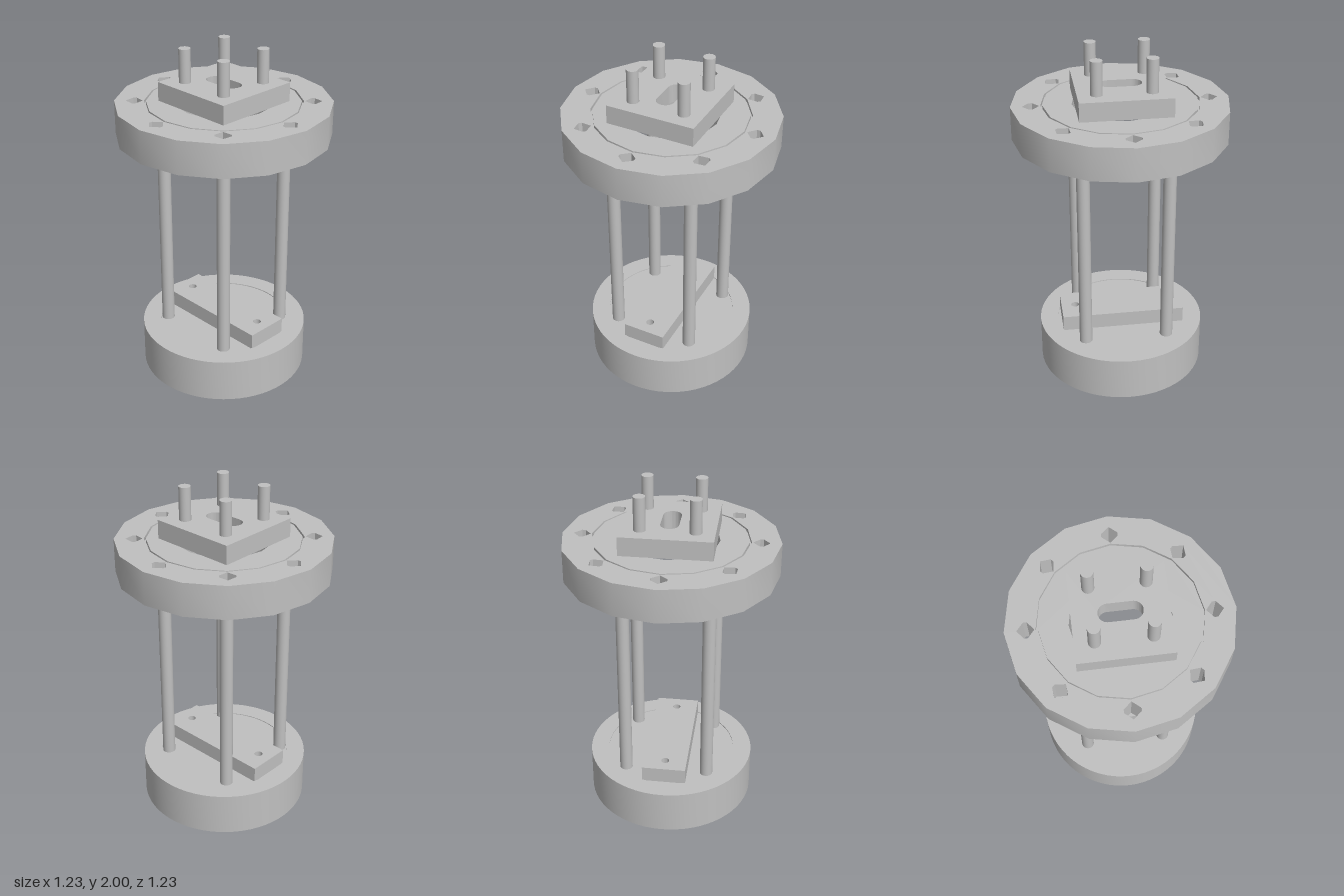
import * as THREE from 'three';
import { toCreasedNormals } from 'three/addons/utils/BufferGeometryUtils.js';

const metal = new THREE.MeshStandardMaterial({ color: 0xc0c0c0 });
metal.name = 'grey metal';

// Regular polygon points, first corner towards +x
function ngon(radius, sides) {
  return Array.from({ length: sides }, (_, i) => {
    const a = (i / sides) * Math.PI * 2;
    return new THREE.Vector2(Math.cos(a) * radius, Math.sin(a) * radius);
  });
}

// Upright slab from an outline in the ground plane, with through holes
function slab(outline, holes, y0, y1) {
  const shape = new THREE.Shape(outline);
  shape.holes = holes.map((h) => new THREE.Path(h));
  const geo = new THREE.ExtrudeGeometry(shape, { depth: y1 - y0, bevelEnabled: false });
  geo.rotateX(-Math.PI / 2);
  geo.translate(0, y0, 0);
  return toCreasedNormals(geo, 0.5);
}

function rect(w, d) {
  return [[-w, -d], [w, -d], [w, d], [-w, d]].map(([x, y]) => new THREE.Vector2(x, y));
}

export function createModel() {
  const model = new THREE.Group();
  model.name = 'rodStand';

  const add = (name, geo, x = 0, z = 0) => {
    const mesh = new THREE.Mesh(geo, metal);
    mesh.name = name;
    mesh.position.set(x, 0, z);
    model.add(mesh);
  };

  // Four matching round posts at the corners of a square
  const addPosts = (name, radius, spread, y0, y1) => {
    const geo = new THREE.CylinderGeometry(radius, radius, y1 - y0, 32);
    geo.translate(0, (y0 + y1) / 2, 0);
    for (const x of [-spread, spread]) for (const z of [-spread, spread]) add(name, geo, x, z);
  };

  // Round base with a shallow recess on top
  const base = new THREE.LatheGeometry(
    [[0, 0], [0.5, 0], [0.5, 0.265], [0.39, 0.265], [0.39, 0.26], [0, 0.26]]
      .map(([r, y]) => new THREE.Vector2(r, y)), 64);
  add('base', toCreasedNormals(base, 0.5));

  // Mounting bar with two small holes
  const barHoles = [-0.285, 0.285].map((x) =>
    ngon(0.024, 20).map((p) => p.add(new THREE.Vector2(x, 0))));
  add('mountingBar', slab(rect(0.37, 0.13), barHoles, 0.26, 0.355));

  // Long support rods
  addPosts('supportRod', 0.038, 0.245, 0.26, 1.5);

  // Sixteen-sided flange: bolt ring, groove floor and inner ring
  const bolt = [[0.048, 0], [0.01, 0.045], [-0.01, 0.045], [-0.048, 0], [-0.01, -0.045], [0.01, -0.045]];
  const boltHoles = Array.from({ length: 8 }, (_, i) =>
    bolt.map(([r, t]) =>
      new THREE.Vector2(0.503 + r, t).rotateAround(new THREE.Vector2(), (i * Math.PI) / 4)));
  add('flangeOuterRing', slab(ngon(0.617, 16), [ngon(0.449, 16), ...boltHoles], 1.5, 1.695));
  add('flangeGroove', slab(ngon(0.449, 16), [ngon(0.438, 16)], 1.5, 1.675));
  add('flangeInnerRing', slab(ngon(0.438, 16), [ngon(0.275, 16)], 1.5, 1.695));

  // Square top block with a rounded slot
  const slot = new THREE.Path();
  slot.absarc(0.068, 0, 0.052, -Math.PI / 2, Math.PI / 2, false);
  slot.absarc(-0.068, 0, 0.052, Math.PI / 2, Math.PI * 1.5, false);
  add('topBlock', slab(rect(0.26, 0.26), [slot.getPoints(12)], 1.695, 1.805));

  // Short pins on the block
  addPosts('topPin', 0.034, 0.153, 1.805, 2);

  return model;
}
